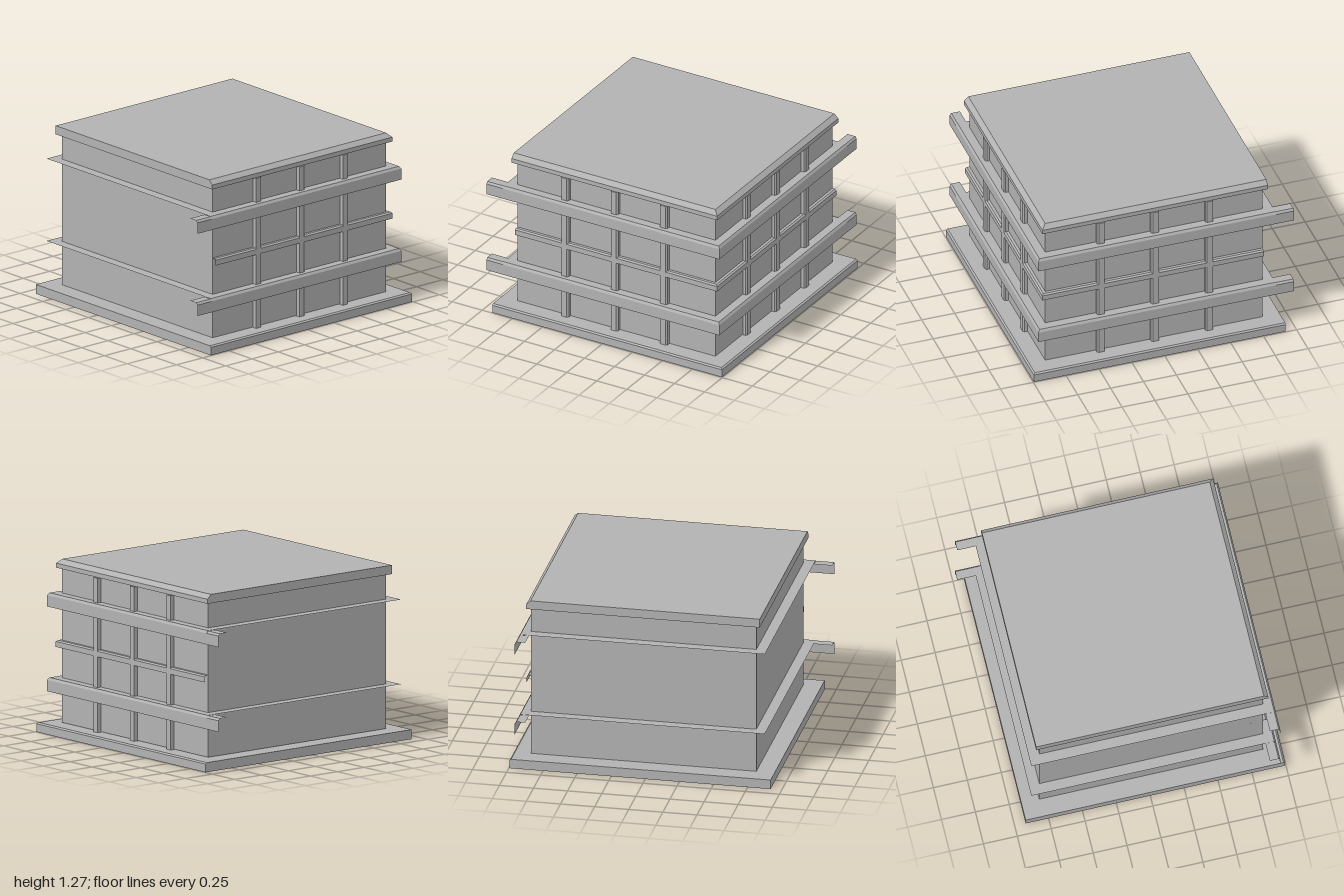
import * as THREE from 'three';

const WALL = 0.825; // half width of the body

// Open-bottomed square shell from stacked corner loops; its top edge is bevelled on +x and -z only.
// sides: 0 front, 1 right, 2 back, 3 left
function shell(lo, hi, y0, y1, dx, dy, sides = [0, 1, 2, 3]) {
  const loop = (y, h) => [[-lo, y, lo], [h, y, lo], [h, y, -h], [-lo, y, -h]];
  const loops = [loop(y0, hi), loop(y1 - dy, hi), loop(y1, hi - dx)];
  const pos = [];
  const quad = (a, b, c, d) => pos.push(...a, ...b, ...c, ...a, ...c, ...d);
  for (let k = 0; k < 2; k++) {
    for (const s of sides) {
      const t = (s + 1) % 4;
      quad(loops[k][s], loops[k][t], loops[k + 1][t], loops[k + 1][s]);
    }
  }
  quad(...loops[2]);
  const geo = new THREE.BufferGeometry();
  geo.setAttribute('position', new THREE.Float32BufferAttribute(pos, 3));
  geo.computeVertexNormals();
  return geo;
}

// Open strip: an (x, y) profile swept along z
function strip(profile, z0, z1) {
  const pos = [];
  for (let i = 0; i + 1 < profile.length; i++) {
    const [ax, ay] = profile[i], [bx, by] = profile[i + 1];
    pos.push(ax, ay, z0, ax, ay, z1, bx, by, z1, ax, ay, z0, bx, by, z1, bx, by, z0);
  }
  const geo = new THREE.BufferGeometry();
  geo.setAttribute('position', new THREE.Float32BufferAttribute(pos, 3));
  geo.computeVertexNormals();
  return geo;
}

// Vertical batten with one bevelled edge
function battenGeometry(y0, y1) {
  const shape = new THREE.Shape([
    [0.815, -0.028], [0.858, -0.028], [0.858, 0.017], [0.847, 0.028], [0.815, 0.028],
  ].map(([x, y]) => new THREE.Vector2(x, y)));
  const geo = new THREE.ExtrudeGeometry(shape, { depth: y1 - y0, bevelEnabled: false });
  return geo.rotateX(-Math.PI / 2).translate(0, y0, 0);
}

export function createModel() {
  const model = new THREE.Group();
  const grey = new THREE.MeshStandardMaterial({ color: 0xb2b2b2, side: THREE.DoubleSide });
  grey.name = 'grey';

  const add = (parent, name, geo) => {
    const mesh = new THREE.Mesh(geo, grey);
    mesh.name = name;
    parent.add(mesh);
    return mesh;
  };

  // Parts are centred on the body, which sits off the overall centre
  const box = new THREE.Group();
  box.name = 'box';
  box.position.set(0.038, 0, -0.038);
  model.add(box);

  add(box, 'base', shell(0.957, 0.957, 0, 0.07, 0.012, 0.01));
  add(box, 'body', new THREE.BoxGeometry(2 * WALL, 1.13, 2 * WALL).translate(0, 0.638, 0));
  add(box, 'lid', shell(0.856, 0.856, 1.205, 1.27, 0.032, 0.032));
  add(box, 'lidUnderside', new THREE.PlaneGeometry(1.712, 1.712).rotateX(Math.PI / 2).translate(0, 1.205, 0));

  // Two beams wrap the right and back walls; their top sheet runs all round
  const beamLevels = [0.3, 0.92];
  for (const y of beamLevels) {
    add(box, 'beam', shell(0.902, 0.902, y, y + 0.1, 0.012, 0.018, [1, 2]));
  }
  add(box, 'middleRail', shell(WALL, 0.858, 0.625, 0.675, 0.012, 0.01, [1, 2]));

  // Battens and beam ends: right wall, then mirrored across the diagonal to the back wall
  for (const name of ['rightWallTrim', 'backWallTrim']) {
    const trim = new THREE.Group();
    trim.name = name;
    if (name === 'backWallTrim') {
      trim.rotation.y = Math.PI / 2;
      trim.scale.z = -1;
    }
    box.add(trim);
    for (const z of [-0.412, 0, 0.412]) {
      add(trim, 'batten', battenGeometry(0.07, 1.2)).position.z = z;
    }
    for (const y of beamLevels) {
      const profile = [[WALL, y + 0.098], [0.89, y + 0.098], [0.902, y + 0.082], [0.902, y]];
      add(trim, 'beamEnd', strip(profile, 0.902, 1.038));
    }
  }
  return model;
}
